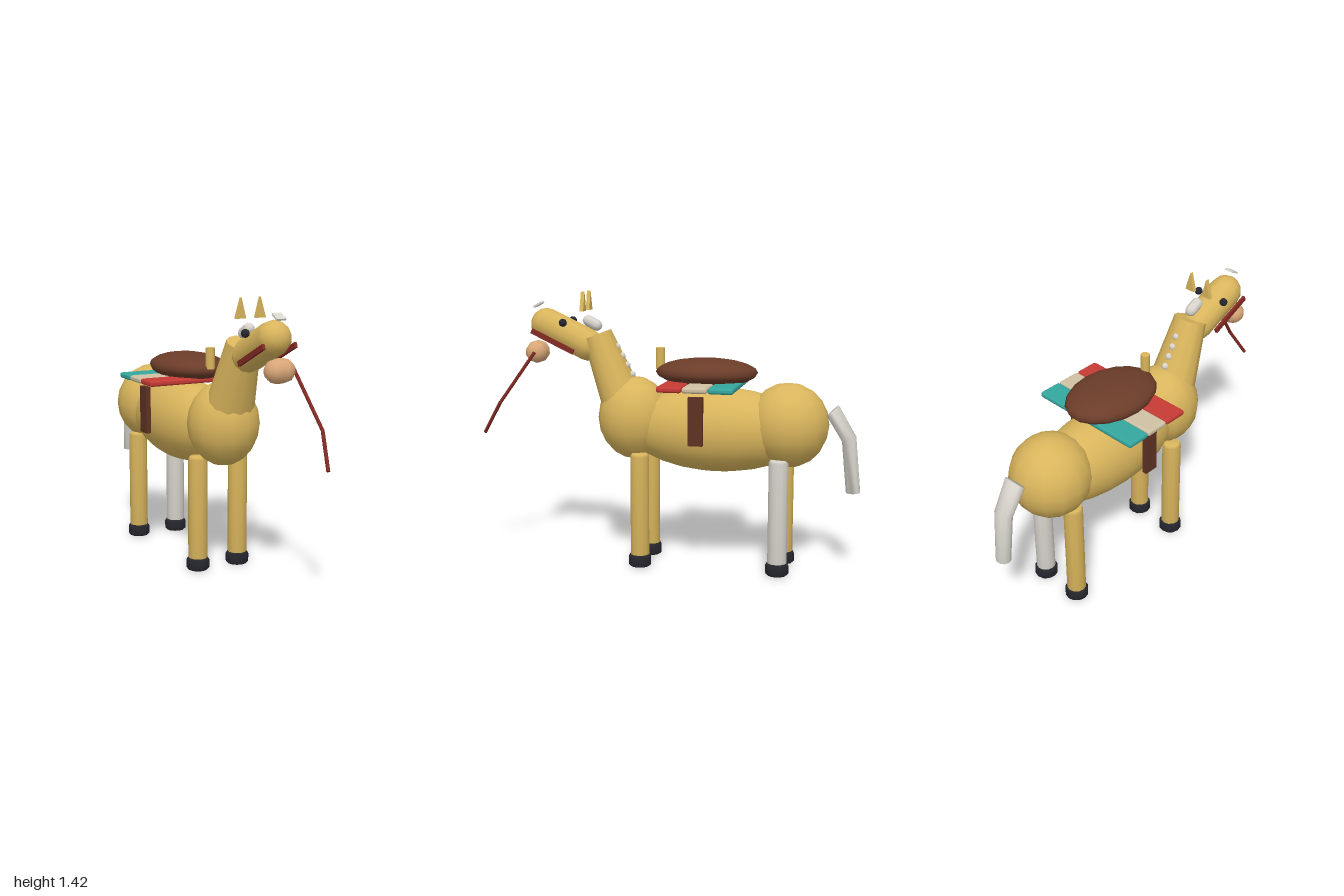
import * as THREE from 'three';
import { RoundedBoxGeometry } from 'three/addons/geometries/RoundedBoxGeometry.js';

const V = (x, y, z) => new THREE.Vector3(x, y, z);
const mat = (name, color, side = THREE.FrontSide) => {
  const m = new THREE.MeshStandardMaterial({ color, side });
  m.name = name;
  return m;
};

export function createModel() {
  const group = new THREE.Group();
  const coat = mat('goldenCoat', 0xd9b55c);
  const white = mat('paleHair', 0xd9d5cd, THREE.DoubleSide);
  const dark = mat('darkHoof', 0x26262e);
  const brown = mat('saddleLeather', 0x6b3c29);
  const strapBrown = mat('strapLeather', 0x5e3222);
  const rein = mat('reinRed', 0x822a22);
  const red = mat('blanketRed', 0xc63a35);
  const cream = mat('blanketCream', 0xcfc0a2);
  const teal = mat('blanketTeal', 0x35a79e);
  const tan = mat('muzzleTan', 0xdba878);

  const add = (name, geo, material, x = 0, y = 0, z = 0) => {
    const mesh = new THREE.Mesh(geo, material);
    mesh.name = name;
    mesh.position.set(x, y, z);
    group.add(mesh);
    return mesh;
  };
  const ellipsoid = (name, m, x, y, z, rx, ry, rz, w = 14, h = 10) => {
    const e = add(name, new THREE.SphereGeometry(1, w, h), m, x, y, z);
    e.scale.set(rx, ry, rz);
    return e;
  };
  // Stands a y-aligned geometry between two points
  const between = (name, geo, m, a, b) => {
    const mid = a.clone().add(b).multiplyScalar(0.5);
    const mesh = add(name, geo, m, mid.x, mid.y, mid.z);
    mesh.quaternion.setFromUnitVectors(V(0, 1, 0), b.clone().sub(a).normalize());
    return mesh;
  };

  // Trunk
  ellipsoid('barrel', coat, 0, 0.725, -0.25, 0.2, 0.22, 0.48, 20, 14);
  ellipsoid('chest', coat, 0, 0.77, 0.19, 0.185, 0.217, 0.19);
  ellipsoid('rump', coat, 0, 0.76, -0.62, 0.207, 0.217, 0.21);

  // Neck
  const neckTop = V(0, 1.2, 0.39), neckBase = V(0, 0.85, 0.25);
  const neckGeo = new THREE.CylinderGeometry(0.088, 0.13, neckTop.distanceTo(neckBase), 12);
  neckGeo.scale(1, 1, 0.88);
  between('neck', neckGeo, coat, neckBase, neckTop);

  // Head, muzzle and forelock
  const headBack = V(0, 1.145, 0.44), headFront = V(0, 1.25, 0.665);
  between('head', new THREE.CapsuleGeometry(0.085, headBack.distanceTo(headFront), 4, 12), coat, headBack, headFront);
  const muzzle = add('muzzle', new THREE.CapsuleGeometry(0.06, 0.034, 3, 10), tan, 0, 1.103, 0.72);
  muzzle.rotation.z = Math.PI / 2;
  const headTilt = -0.44;
  add('forelock', new THREE.BoxGeometry(0.05, 0.01, 0.05), white, 0, 1.352, 0.71).rotation.x = 0.5;
  const tuft = add('pollTuft', new THREE.CapsuleGeometry(0.03, 0.05, 3, 8), white, 0, 1.26, 0.415);
  tuft.rotation.x = 1.1;

  // Ears, eyes and bridle straps
  const earShape = new THREE.Shape([new THREE.Vector2(-0.026, 0), new THREE.Vector2(0.03, 0), new THREE.Vector2(0, 0.1)]);
  for (const s of [-1, 1]) {
    const ear = add('ear', new THREE.ExtrudeGeometry(earShape, { depth: 0.02, bevelEnabled: false }), coat, s * 0.053, 1.325, 0.44);
    if (s < 0) { ear.rotation.y = Math.PI; ear.position.z = 0.46; }
    ellipsoid('eye', dark, s * 0.085, 1.265, 0.55, 0.021, 0.021, 0.021, 10, 8);
    add('bridleStrap', new THREE.BoxGeometry(0.014, 0.026, 0.25), rein, s * 0.087, 1.167, 0.608).rotation.x = headTilt;
  }

  // Hanging rein on the left side
  const reinPoints = [V(0.085, 1.105, 0.71), V(0.13, 0.84, 0.89), V(0.095, 0.675, 0.992)];
  for (let i = 0; i < 2; i++) {
    const len = reinPoints[i].distanceTo(reinPoints[i + 1]) + 0.006;
    between('rein', new THREE.CylinderGeometry(0.009, 0.009, len, 8), rein, reinPoints[i], reinPoints[i + 1]);
  }

  // Mane knots along the back of the neck
  for (let i = 0; i < 4; i++) {
    ellipsoid('maneKnot', white, 0, 1.14 - i * 0.048, 0.283 - i * 0.027, 0.019, 0.019, 0.019, 8, 6);
  }

  // Legs and hooves; the left hind leg is pale
  const hoofProfile = [[0, 0], [0.05, 0], [0.06, 0.01], [0.06, 0.05], [0.052, 0.064], [0, 0.064]];
  const legProfile = [[0, 0.04], [0.05, 0.04], [0.05, 0.585], [0.04, 0.6], [0, 0.6]];
  const lathe = (p) => new THREE.LatheGeometry(p.map(([r, y]) => new THREE.Vector2(r, y)), 12);
  for (const x of [-0.117, 0.117]) {
    for (const z of [0.133, -0.59]) {
      add('leg', lathe(legProfile), x > 0 && z < 0 ? white : coat, x, 0, z);
      add('hoof', lathe(hoofProfile), dark, x, 0, z);
    }
  }

  // Tail lofted from elliptical rings: centre y, centre z, half width, half depth, tilt
  const rings = [[0.842, -0.845, 0.06, 0.04, 0.75], [0.7, -0.93, 0.052, 0.038, 0.3], [0.425, -0.957, 0.041, 0.037, 0.04]];
  const N = 10, pos = [], idx = [];
  for (const [y, z, rx, rz, tilt] of rings) {
    for (let i = 0; i < N; i++) {
      const a = (i / N) * Math.PI * 2, d = Math.sin(a) * rz;
      pos.push(Math.cos(a) * rx, y + d * -Math.sin(tilt), z + d * Math.cos(tilt));
    }
  }
  for (let r = 0; r < rings.length - 1; r++) {
    for (let i = 0; i < N; i++) {
      const a = r * N + i, b = r * N + ((i + 1) % N);
      idx.push(a, b, a + N, b, b + N, a + N);
    }
  }
  for (let i = 1; i < N - 1; i++) {
    const e = (rings.length - 1) * N;
    idx.push(0, i + 1, i, e, e + i, e + i + 1);
  }
  const tailGeo = new THREE.BufferGeometry();
  tailGeo.setAttribute('position', new THREE.Float32BufferAttribute(pos, 3));
  tailGeo.setIndex(idx);
  tailGeo.computeVertexNormals();
  add('tail', tailGeo, white);

  // Striped blanket, saddle, horn and stirrup straps
  [[red, -0.064], [cream, -0.194], [teal, -0.324]].forEach(([m, z]) =>
    add('blanketStripe', new RoundedBoxGeometry(0.63, 0.03, 0.127, 2, 0.012), m, 0, 0.965, z));
  ellipsoid('saddle', brown, 0, 1.02, -0.195, 0.19, 0.072, 0.265, 18, 10);
  add('saddleHorn', new THREE.CylinderGeometry(0.024, 0.024, 0.11, 10), coat, 0, 1.085, 0.05);
  for (const s of [-1, 1]) {
    add('stirrupStrap', new THREE.BoxGeometry(0.026, 0.245, 0.075), strapBrown, s * 0.257, 0.803, -0.19);
  }
  return group;
}
